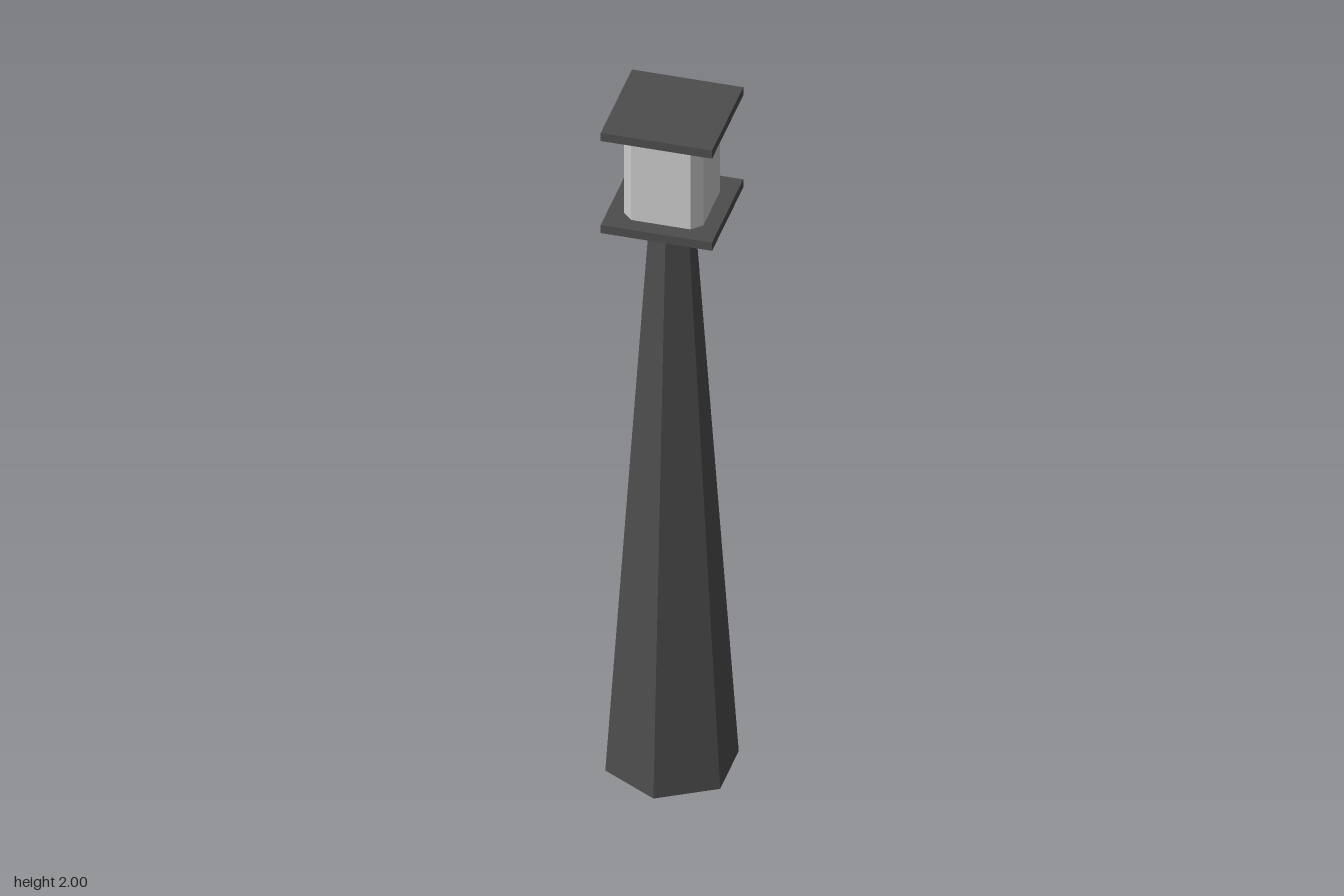
import * as THREE from 'three';

export function createModel() {
  const model = new THREE.Group();
  const dark = new THREE.MeshStandardMaterial({ color: 0x4d4d4d, flatShading: true });
  const pale = new THREE.MeshStandardMaterial({ color: 0xcccccc, flatShading: true });

  const add = (name, geometry, material, y) => {
    const mesh = new THREE.Mesh(geometry, material);
    mesh.name = name;
    mesh.position.y = y;
    model.add(mesh);
  };

  const plateSize = 0.292, plateHeight = 0.025;
  const plateBase = 1.692;
  const lampBase = plateBase + plateHeight;
  const roofBase = 2 - plateHeight;

  // Tapered six-sided tower with a corner facing the front
  add('tower', new THREE.CylinderGeometry(0.058, 0.174, plateBase, 6), dark, plateBase / 2);

  // Square gallery and roof plates
  const plate = new THREE.BoxGeometry(plateSize, plateHeight, plateSize);
  add('galleryPlate', plate, dark, plateBase + plateHeight / 2);
  add('roofPlate', plate, dark, roofBase + plateHeight / 2);

  // Lantern room: a square with cut corners, extruded upwards
  const half = 0.104, inner = 0.078;
  const outline = new THREE.Shape([
    [half, -inner], [half, inner], [inner, half], [-inner, half],
    [-half, inner], [-half, -inner], [-inner, -half], [inner, -half],
  ].map(([x, y]) => new THREE.Vector2(x, y)));
  const lantern = new THREE.ExtrudeGeometry(outline, { depth: roofBase - lampBase, bevelEnabled: false });
  lantern.rotateX(-Math.PI / 2);
  add('lanternRoom', lantern, pale, lampBase);

  return model;
}
